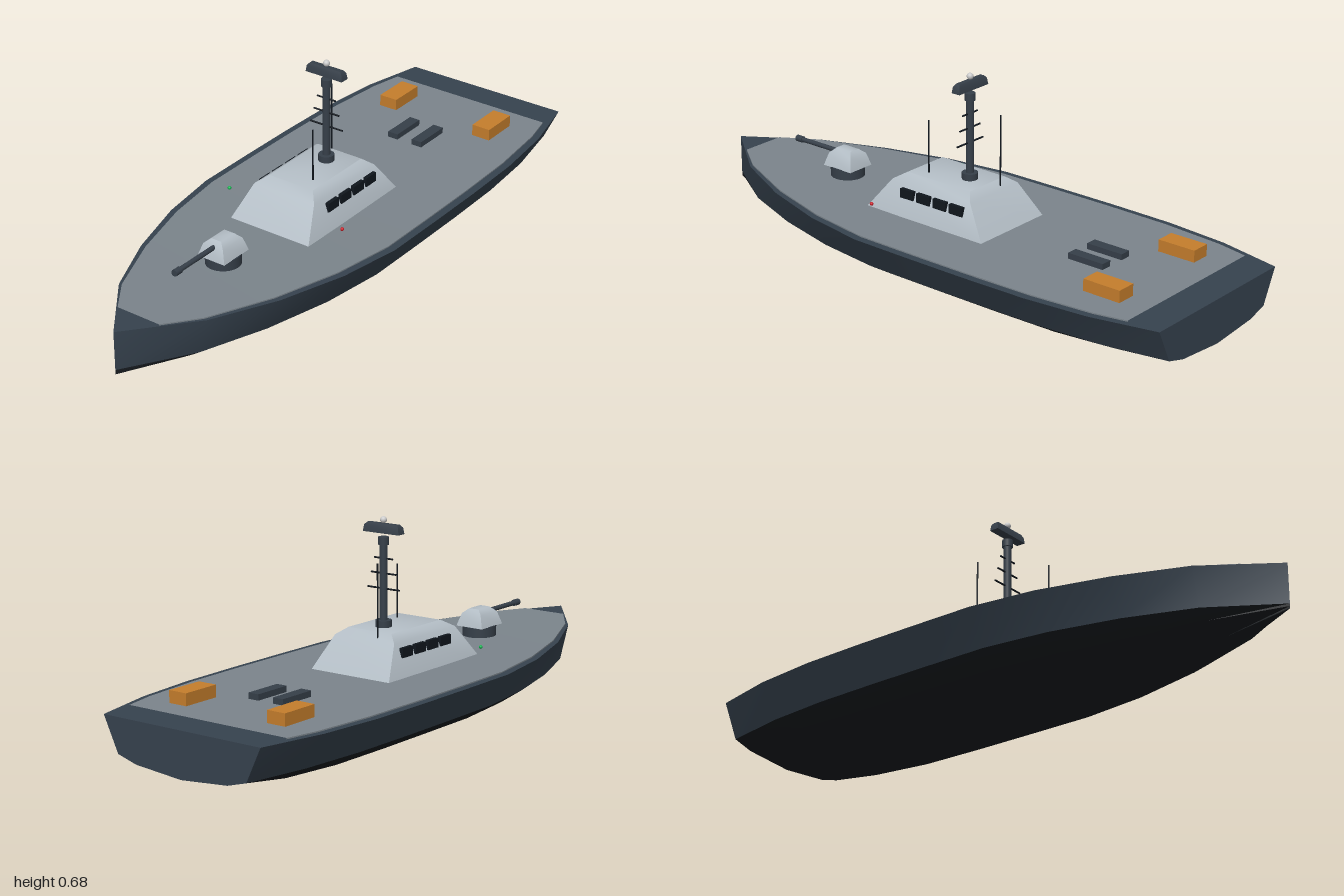
import * as THREE from 'three';
import { toCreasedNormals } from 'three/addons/utils/BufferGeometryUtils.js';

const COLORS = {
  hull: 0x36424e, bottom: 0x171b1f, deck: 0x7b848b, house: 0xb4bec6, dark: 0x363f49,
  black: 0x10161d, crate: 0xc47d2c, lamp: 0xd8d8d8, red: 0xc81e28, green: 0x14b450,
};
const mats = {};
for (const key in COLORS) mats[key] = new THREE.MeshStandardMaterial({ color: COLORS[key] });

// Skin between rows of points; every row has the same number of points
function loft(rows, crease = 0.75) {
  const n = rows[0].length, index = [];
  for (let r = 0; r < rows.length - 1; r++) {
    for (let i = 0; i < n - 1; i++) {
      const a = r * n + i, b = a + n;
      index.push(a, a + 1, b, a + 1, b + 1, b);
    }
  }
  const geo = new THREE.BufferGeometry();
  geo.setAttribute('position', new THREE.Float32BufferAttribute(rows.flat(2), 3));
  geo.setIndex(index);
  return toCreasedNormals(geo, crease);
}

// Stack of rectangles [y, halfWidth, zBack, zFront], closed on top
function taperedBlock(levels) {
  const rows = levels.map(([y, w, zb, zf]) =>
    [[-w, y, zf], [w, y, zf], [w, y, zb], [-w, y, zb], [-w, y, zf]]);
  const [y, , zb, zf] = levels[levels.length - 1];
  rows.push(rows[0].map(() => [0, y, (zb + zf) / 2]));
  return loft(rows);
}

// Hull stations: z, half beam at deck, deck height, lower chine height, keel height
const STATIONS = [
  [-1, 0.30, 0.192, 0.06, 0.045],
  [-0.78, 0.35, 0.192, 0.035, 0.015],
  [-0.56, 0.372, 0.192, 0.026, 0.004],
  [-0.33, 0.377, 0.192, 0.025, 0.001],
  [-0.11, 0.377, 0.192, 0.025, 0],
  [0.11, 0.375, 0.192, 0.025, 0.002],
  [0.33, 0.34, 0.194, 0.028, 0.008],
  [0.56, 0.27, 0.197, 0.037, 0.02],
  [0.78, 0.17, 0.203, 0.053, 0.038],
  [1, 0, 0.211, 0.072, 0.065],
];
const CHINE_Y = 0.08;

function stationAt(z) {
  const i = Math.max(1, STATIONS.findIndex((s) => s[0] >= z));
  const a = STATIONS[i - 1], b = STATIONS[i], t = (z - a[0]) / (b[0] - a[0]);
  return a.map((v, k) => v + (b[k] - v) * t);
}

export function createModel() {
  const model = new THREE.Group();
  const add = (name, geo, mat, x = 0, y = 0, z = 0) => {
    const mesh = new THREE.Mesh(geo, mats[mat]);
    mesh.name = name;
    mesh.position.set(x, y, z);
    model.add(mesh);
    return mesh;
  };
  const box = (name, mat, w, h, d, x, y, z) =>
    add(name, new THREE.BoxGeometry(w, h, d), mat, x, y, z);
  const post = (name, mat, r, y0, y1, x, z, sides = 20) =>
    add(name, new THREE.CylinderGeometry(r, r, y1 - y0, sides), mat, x, (y0 + y1) / 2, z);
  const ball = (name, mat, r, x, y, z) =>
    add(name, new THREE.SphereGeometry(r, 16, 12), mat, x, y, z);

  // Hull: topsides with covering deck, and underwater body
  add('topsides', loft(STATIONS.map(([z, w, y]) =>
    [[w * 0.82, CHINE_Y, z], [w, y, z], [-w, y, z], [-w * 0.82, CHINE_Y, z]])), 'hull');
  add('hullBottom', loft(STATIONS.map(([z, w, , low, keel]) => [
    [-w * 0.82, CHINE_Y, z], [-w * 0.585, low, z], [0, keel, z],
    [w * 0.585, low, z], [w * 0.82, CHINE_Y, z],
  ])), 'bottom');

  // Transom closing the stern
  const [zs, ws, ys, lows, keels] = STATIONS[0];
  const outline = [[ws, ys], [ws * 0.82, CHINE_Y], [ws * 0.585, lows], [0, keels],
    [-ws * 0.585, lows], [-ws * 0.82, CHINE_Y], [-ws, ys]];
  const transom = new THREE.ShapeGeometry(
    new THREE.Shape(outline.map(([x, y]) => new THREE.Vector2(x, y))));
  transom.rotateY(Math.PI);
  add('transom', transom, 'hull', 0, 0, zs);

  // Deck panel, inset from the hull edge
  const deckZ = [-0.89, ...STATIONS.slice(1, -1).map((s) => s[0]), 0.89];
  add('deckPanel', loft(deckZ.map((z) => {
    const [, beam, y] = stationAt(z), w = beam * 0.93, top = y + 0.004;
    return [[w, y, z], [w, top, z], [-w, top, z], [-w, y, z]];
  })), 'deck');

  // Deckhouse with side windows
  add('deckhouse', taperedBlock([
    [0.19, 0.155, -0.222, 0.265],
    [0.30, 0.117, -0.143, 0.182],
    [0.323, 0.085, -0.115, 0.145],
  ]), 'house');
  for (const side of [-1, 1]) {
    for (let i = 0; i < 4; i++) {
      box('window', 'black', 0.013, 0.031, 0.053, side * 0.131, 0.27, 0.105 - i * 0.068);
    }
  }

  // Mast with crossbars, radar and top lamp
  const mastZ = -0.043;
  post('mastFoot', 'dark', 0.026, 0.31, 0.345, 0, mastZ);
  post('mastPole', 'dark', 0.013, 0.34, 0.59, 0, mastZ);
  post('mastCap', 'dark', 0.0175, 0.587, 0.612, 0, mastZ);
  for (const [y, w] of [[0.446, 0.063], [0.495, 0.049], [0.543, 0.036]]) {
    post('crossbar', 'black', 0.003, y - w, y + w, 0, mastZ, 8).rotation.z = Math.PI / 2;
  }
  add('radar', taperedBlock([
    [0.625, 0, 0, 0],
    [0.625, 0.07, -0.016, 0.016],
    [0.646, 0.067, -0.013, 0.013],
    [0.655, 0.059, -0.008, 0.008],
  ]), 'dark', 0, 0, mastZ);
  ball('mastLamp', 'lamp', 0.011, 0, 0.666, mastZ);

  // Whip aerials
  post('aerial', 'black', 0.0025, 0.30, 0.545, -0.044, -0.132, 8);
  post('aerial', 'black', 0.0025, 0.31, 0.50, 0.045, 0.09, 8);

  // Bow gun
  const gunZ = 0.49;
  post('gunBase', 'dark', 0.057, 0.19, 0.235, 0, gunZ, 32);
  add('gunTurret', taperedBlock([
    [0.234, 0.052, -0.06, 0.06],
    [0.277, 0.038, -0.048, 0.048],
    [0.293, 0.019, -0.032, 0.032],
  ]), 'house', 0, 0, gunZ);
  const barrel = (name, r, z0, z1) => {
    const geo = new THREE.CylinderGeometry(r, r, z1 - z0, 16).rotateX(Math.PI / 2);
    add(name, geo, 'dark', 0, 0.273, (z0 + z1) / 2);
  };
  barrel('gunBarrel', 0.008, 0.53, 0.71);
  barrel('gunMuzzle', 0.011, 0.695, 0.722);

  // Aft deck: crates and vents, and side lights
  for (const side of [-1, 1]) {
    box('crate', 'crate', 0.067, 0.045, 0.133, side * 0.19, 0.213, -0.735);
    box('vent', 'dark', 0.038, 0.025, 0.132, side * 0.048, 0.203, -0.557);
    ball('sideLight', side > 0 ? 'red' : 'green', 0.006, side * 0.222, 0.246, 0.178);
  }
  return model;
}
